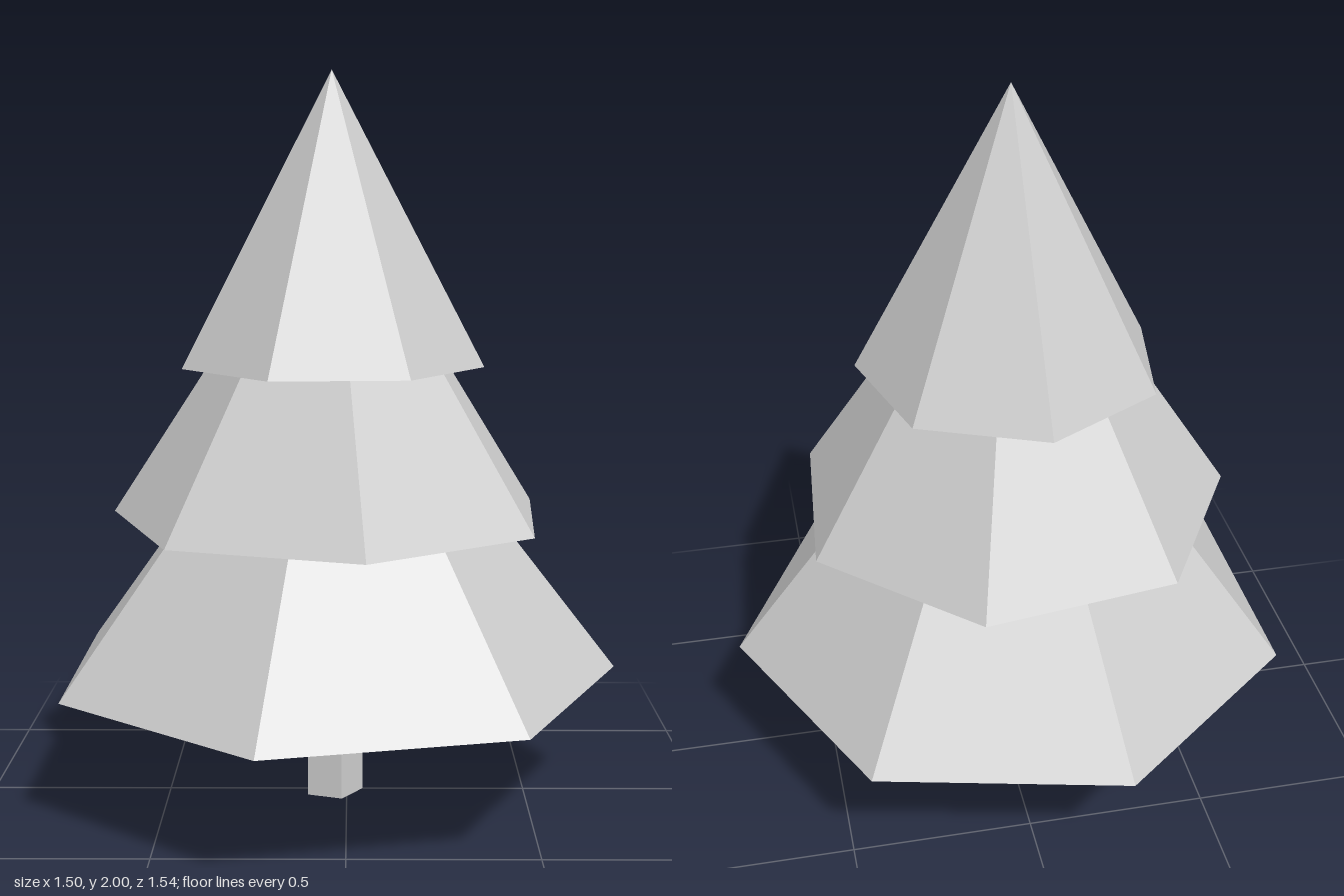
import * as THREE from 'three';

const AXIS_X = -0.04;
const paleGrey = new THREE.MeshStandardMaterial({ color: 0xcccccc, flatShading: true });
paleGrey.name = 'pale grey';

// One closed faceted prism or cone; angle is where a corner points, in degrees from +x towards +z
function faceted(name, topRadius, bottomRadius, bottom, top, sides, angle) {
  const start = THREE.MathUtils.degToRad(90 - angle);
  const geometry = new THREE.CylinderGeometry(topRadius, bottomRadius, top - bottom, sides, 1, false, start);
  const mesh = new THREE.Mesh(geometry, paleGrey);
  mesh.name = name;
  mesh.position.set(AXIS_X, (bottom + top) / 2, 0);
  return mesh;
}

export function createModel() {
  const tree = new THREE.Group();
  tree.name = 'tree';

  // Five-sided trunk
  tree.add(faceted('trunk', 0.085, 0.085, 0, 0.45, 5, 0));

  // Three overlapping seven-sided cones, each twisted about the trunk
  const tiers = [
    { name: 'lowerBranches', radius: 0.79, bottom: 0.36, top: 1.38, angle: 0 },
    { name: 'middleBranches', radius: 0.611, bottom: 0.795, top: 1.73, angle: 30.1 },
    { name: 'upperBranches', radius: 0.416, bottom: 1.213, top: 2, angle: 9.3 },
  ];
  for (const t of tiers) tree.add(faceted(t.name, 0, t.radius, t.bottom, t.top, 7, t.angle));

  return tree;
}
